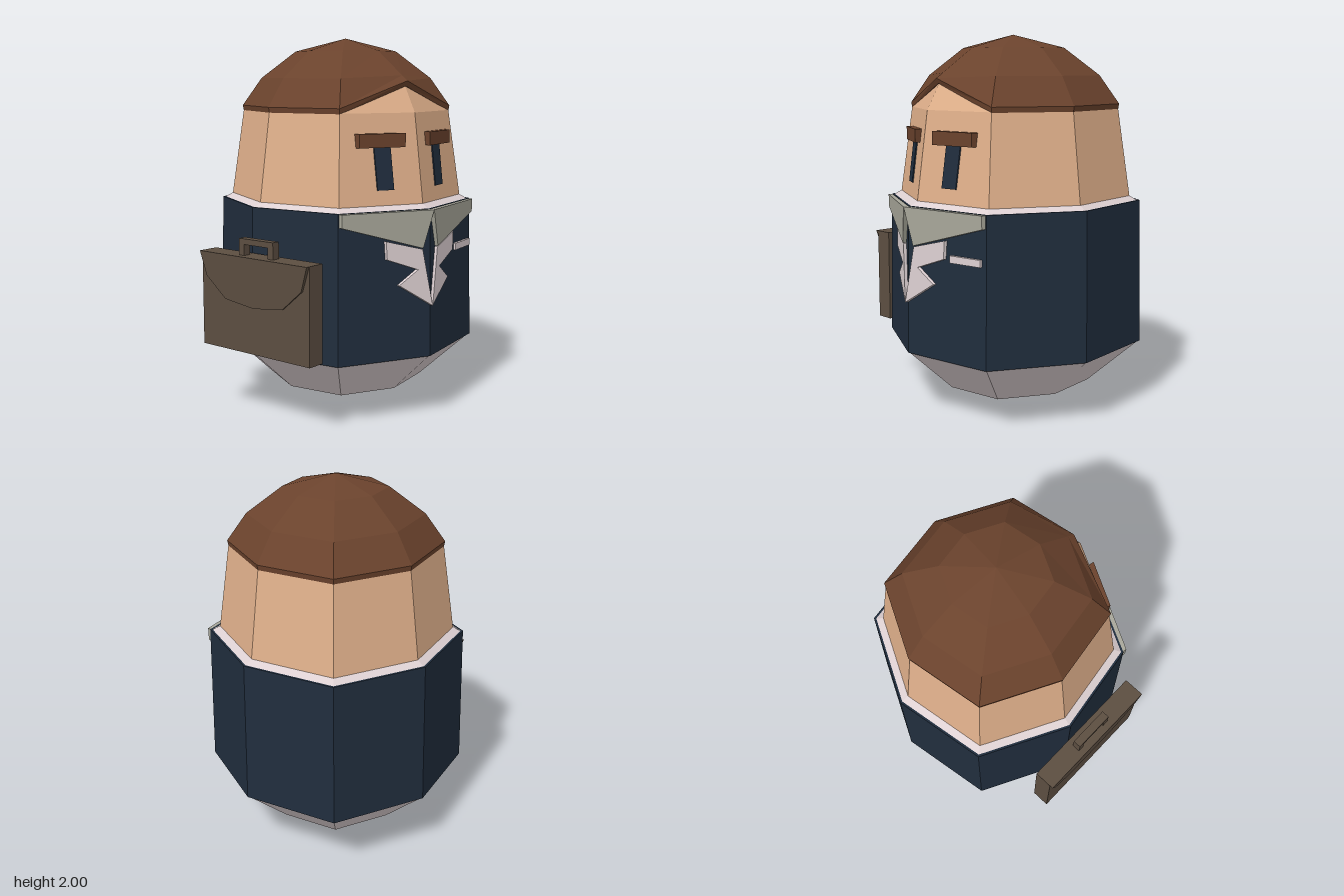
import * as THREE from 'three';

const CX = 0.08; // the figure stands beside its case, slightly off centre
const SLOPE = 0.34; // how fast the two front faces fall away from the centre ridge

const mat = (name, color) => {
  const m = new THREE.MeshStandardMaterial({ color });
  m.name = name;
  return m;
};

// Faceted eight-sided loft. Ring: [y, radius, frontY?, frontZ?]; one corner points forward.
function loft(rings) {
  const pts = rings.map(([y, r, fy = y, fz = r]) =>
    Array.from({ length: 8 }, (_, k) => {
      const a = (k * Math.PI) / 4;
      const s = k % 2 ? r * 1.066 : r;
      return k === 0
        ? new THREE.Vector3(0, fy, fz)
        : new THREE.Vector3(Math.sin(a) * s, y, Math.cos(a) * s);
    }));
  const pos = [];
  const tri = (a, b, c) => {
    const area = b.clone().sub(a).cross(c.clone().sub(a)).length();
    if (area > 1e-6) for (const p of [a, b, c]) pos.push(p.x, p.y, p.z);
  };
  for (let i = 0; i + 1 < pts.length; i++) {
    const a = pts[i], b = pts[i + 1];
    for (let k = 0; k < 8; k++) {
      const n = (k + 1) % 8;
      tri(a[k], a[n], b[n]);
      tri(a[k], b[n], b[k]);
    }
  }
  const g = new THREE.BufferGeometry();
  g.setAttribute('position', new THREE.Float32BufferAttribute(pos, 3));
  g.computeVertexNormals();
  return g;
}

const extrude = (points, depth) =>
  new THREE.ExtrudeGeometry(
    new THREE.Shape(points.map(([x, y]) => new THREE.Vector2(x, y))),
    { depth, bevelEnabled: false });

// Plate laid on a front face; side = 1 or -1, ridge(y) gives z of the centre ridge.
function facePlate(points, depth, side, ridge) {
  const g = extrude(points.map(([u, y]) => [u * side, y]), depth);
  const p = g.attributes.position;
  for (let i = 0; i < p.count; i++)
    p.setZ(i, p.getZ(i) + ridge(p.getY(i)) - SLOPE * Math.abs(p.getX(i)));
  g.computeVertexNormals();
  return g;
}

const rect = (x0, x1, y0, y1) => [[x0, y0], [x1, y0], [x1, y1], [x0, y1]];

export function createModel() {
  const model = new THREE.Group();
  model.name = 'suitedFigure';
  const skin = mat('skin', 0xe0b08b);
  const hairBrown = mat('hairBrown', 0x6b432d);
  const navy = mat('navy', 0x202d3d);
  const white = mat('shirtWhite', 0xddd0d2);
  const grey = mat('collarGrey', 0xa9a89b);
  const leather = mat('leather', 0x5c4e41);

  const figure = new THREE.Group();
  figure.name = 'figure';
  figure.position.x = CX;
  model.add(figure);
  const add = (parent, name, geometry, material) => {
    const m = new THREE.Mesh(geometry, material);
    m.name = name;
    parent.add(m);
    return m;
  };

  // Body shells
  add(figure, 'base', loft([[0, 0], [0.1, 0.4], [0.34, 0.66]]), white);
  add(figure, 'jacket', loft([[0.34, 0.64], [0.34, 0.667], [1.12, 0.652], [1.12, 0.64]]), navy);
  add(figure, 'shirtRim', loft([[1.115, 0.645], [1.145, 0.595]]), white);
  add(figure, 'head', loft([[1.14, 0.6], [1.61, 0.535], [1.61, 0.535, 1.75, 0.46]]), skin);
  add(figure, 'hair', loft([
    [1.605, 0.5, 1.745, 0.43],
    [1.605, 0.535, 1.745, 0.468],
    [1.635, 0.54, 1.772, 0.48],
    [1.785, 0.44, 1.8, 0.44],
    [1.93, 0.26],
    [2.0, 0],
  ]), hairBrown);

  // Mirrored front details
  const headRidge = (y) => 0.6 - (y - 1.14) * 0.135;
  const bodyRidge = (y) => 0.667 - (y - 0.34) * 0.019;
  for (const side of [1, -1]) {
    const tag = side > 0 ? 'left' : 'right';
    add(figure, tag + 'Eye',
      facePlate(rect(0.155, 0.243, 1.22, 1.45), 0.009, side, headRidge), navy);
    add(figure, tag + 'Eyebrow',
      facePlate(rect(0.09, 0.335, 1.437, 1.508), 0.04, side, (y) => headRidge(1.47) - 0.005), hairBrown);
    add(figure, tag + 'Collar',
      facePlate([[0, 1.118], [0.055, 0.92], [0.487, 1.05], [0.487, 1.118]], 0.035, side,
        (y) => bodyRidge(y) - 0.012 + (y - 0.92) * 0.035), grey);
    add(figure, tag + 'Lapel',
      facePlate([[0.0, 0.614], [0.183, 0.735], [0.08, 0.81], [0.247, 0.873], [0.252, 0.968], [0.055, 0.915]],
        0.024, side, (y) => bodyRidge(y) - 0.005), white);
  }
  add(figure, 'pocketSquare',
    facePlate(rect(0.285, 0.47, 0.86, 0.897), 0.025, 1, (y) => bodyRidge(y) - 0.005), white);

  // Briefcase, turned slightly
  const briefcase = new THREE.Group();
  briefcase.name = 'briefcase';
  briefcase.position.set(-0.622, 0, 0.117);
  briefcase.rotation.y = 0.17;
  model.add(briefcase);
  const box = (name, w, h, d, x, y, z) =>
    add(briefcase, name, new THREE.BoxGeometry(w, h, d), leather).position.set(x, y, z);
  box('caseBody', 0.1, 0.51, 0.745, 0.01, 0.625, 0);
  const flap = extrude([[-0.372, 0.88], [-0.33, 0.75], [-0.2, 0.64], [0, 0.615],
    [0.2, 0.64], [0.33, 0.75], [0.372, 0.88]], 0.02);
  // thin the flap towards its lower edge
  const fp = flap.attributes.position;
  for (let i = 0; i < fp.count; i++)
    fp.setZ(i, fp.getZ(i) * (0.3 + 0.7 * (fp.getY(i) - 0.615) / 0.265));
  flap.computeVertexNormals();
  flap.rotateY(-Math.PI / 2);
  add(briefcase, 'caseFlap', flap, leather).position.x = -0.04;
  box('handleGrip', 0.045, 0.03, 0.235, 0, 0.953, 0);
  for (const s of [1, -1]) box('handlePost', 0.045, 0.06, 0.035, 0, 0.908, s * 0.1);

  return model;
}
